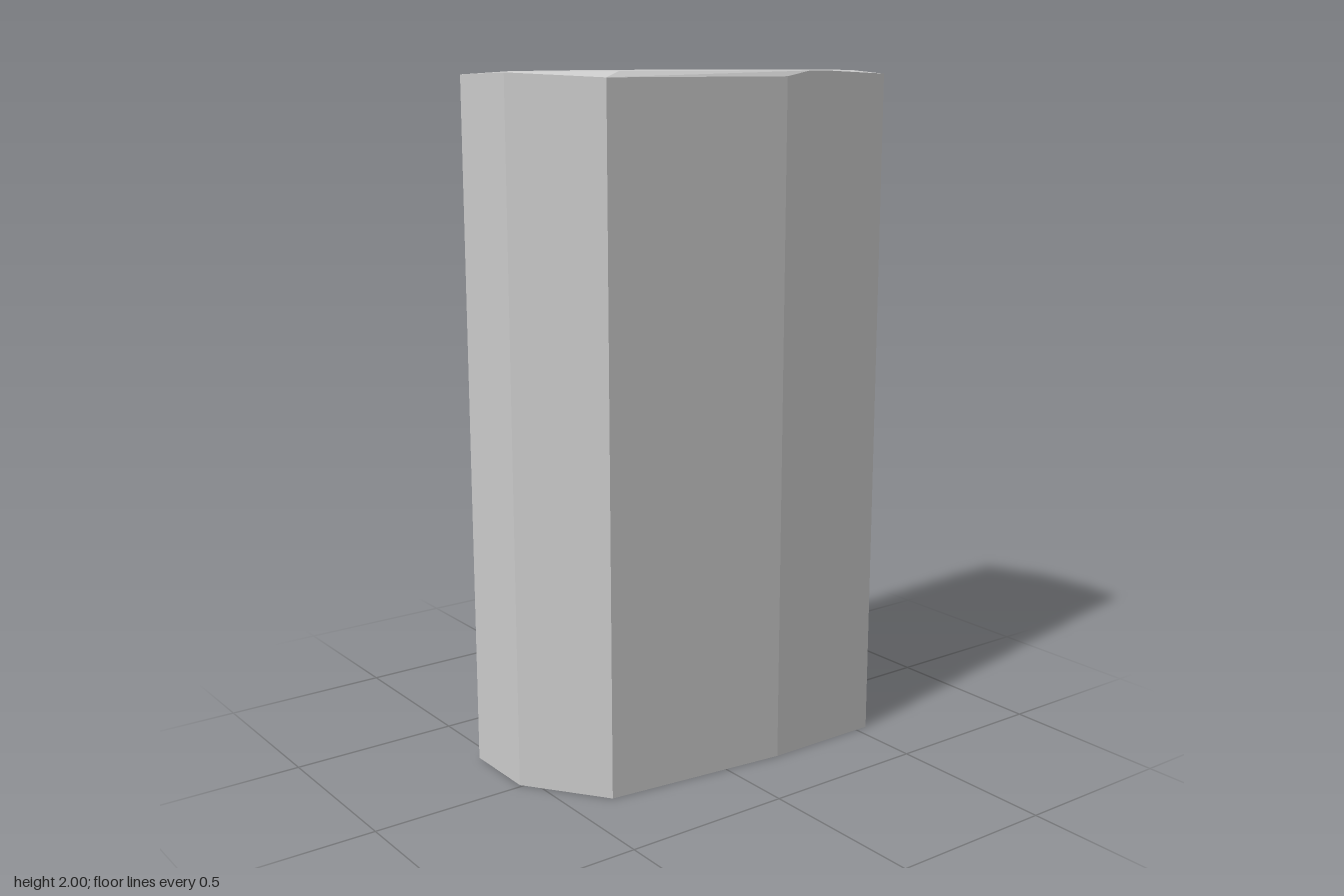
import * as THREE from 'three';
import { ConvexGeometry } from 'three/addons/geometries/ConvexGeometry.js';

export function createModel() {
  const model = new THREE.Group();

  // Footprint corners: x, z and the height of the wall above each one
  const corners = [
    [-0.54, -0.24, 1.99],
    [0.02, -0.28, 1.86],
    [0.445, -0.28, 1.967],
    [0.54, -0.01, 1.96],
    [0.54, 0.28, 1.99],
    [0.18, 0.28, 1.985],
    [-0.375, 0.22, 1.985],
    [-0.54, -0.01, 1.997],
  ];

  // Outline of the flat top, inside the chipped rim
  const plateau = [
    [-0.13, -0.24], [0.27, -0.28], [0.52, -0.05], [0.54, 0.14],
    [0.32, 0.28], [0.26, 0.28], [-0.33, 0.21], [-0.52, -0.01],
  ];

  // The slab is the convex hull of base, wall tops and plateau
  const points = [];
  for (const [x, z, top] of corners) {
    points.push(new THREE.Vector3(x, 0, z), new THREE.Vector3(x, top, z));
  }
  for (const [x, z] of plateau) points.push(new THREE.Vector3(x, 2, z));

  const material = new THREE.MeshStandardMaterial({ color: 0xcccccc, flatShading: true });
  const pillar = new THREE.Mesh(new ConvexGeometry(points), material);
  pillar.name = 'stonePillar';
  model.add(pillar);
  return model;
}
